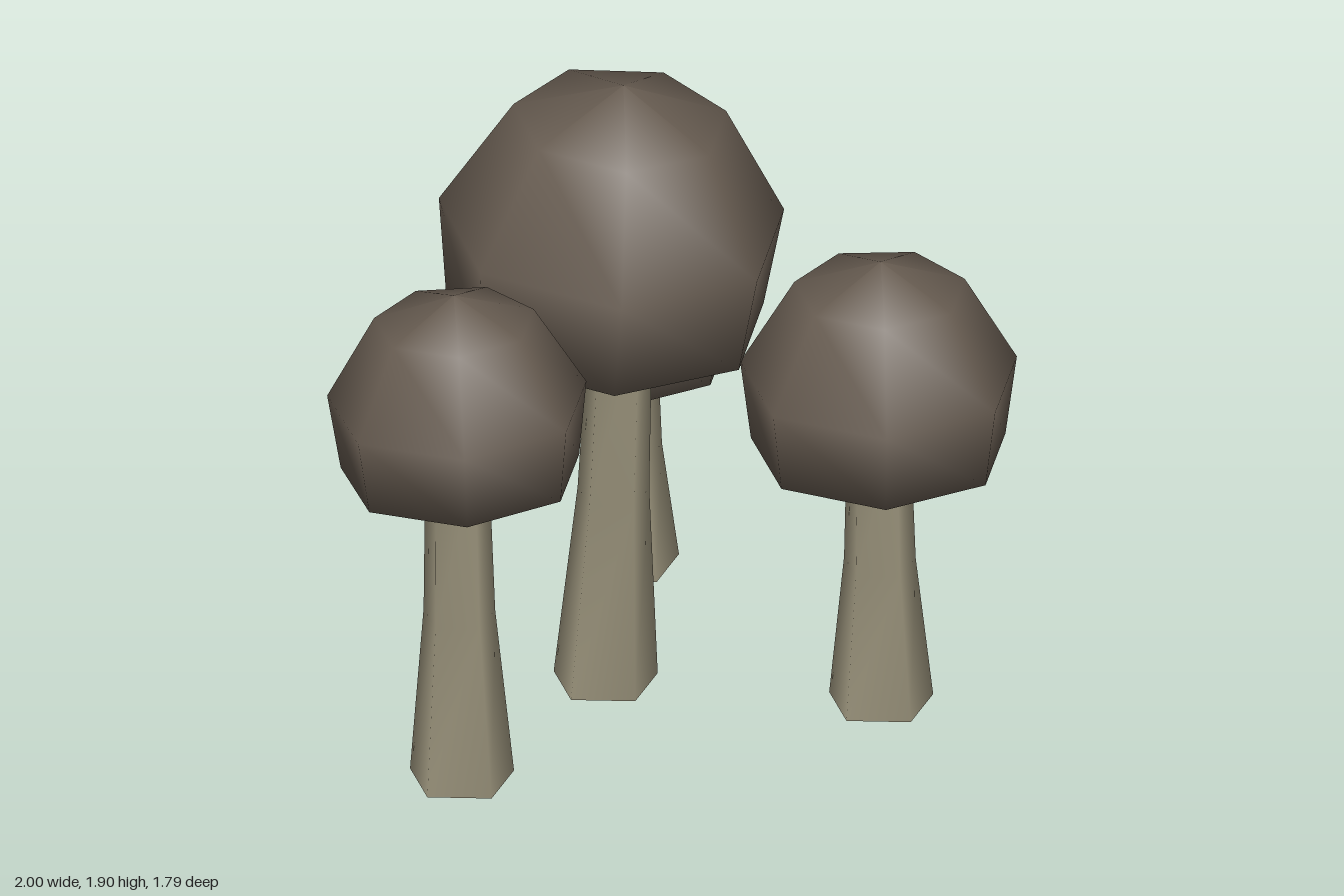
import * as THREE from 'three';

const capMaterial = new THREE.MeshStandardMaterial({ color: 0x665b50 });
capMaterial.name = 'dark brown cap';
const stemMaterial = new THREE.MeshStandardMaterial({ color: 0x979079 });
stemMaterial.name = 'pale olive stem';

// Seven-sided dome with a flat underside; its origin lies at the widest ring
function makeCap({ size, centre, tilt }) {
  const profile = [[0, -0.3], [0.46, -0.3], [0.5, 0], [0.308, 0.335], [0, 0.445]]
    .map(([r, y]) => new THREE.Vector2(r * size, y * size));
  const geometry = new THREE.LatheGeometry(profile, 7);
  geometry.rotateY(Math.PI / 2); // one corner points to +x
  const cap = new THREE.Mesh(geometry, capMaterial);
  cap.name = 'cap';
  cap.position.set(...centre);
  cap.rotation.set(tilt[0], 0, tilt[1]);
  return cap;
}

// Five-sided stem, flared towards the foot and leaning from foot to top
function makeStem({ foot, top }) {
  const geometry = new THREE.CylinderGeometry(1, 1, 1, 5, 2);
  geometry.rotateY(Math.PI / 2);
  geometry.translate(0, 0.5, 0);
  const p = geometry.attributes.position;
  for (let i = 0; i < p.count; i++) {
    const t = p.getY(i);
    const radius = t < 0.25 ? 0.154 : t < 0.75 ? 0.106 : 0.093;
    p.setXYZ(i,
      p.getX(i) * radius + THREE.MathUtils.lerp(foot[0], top[0], t),
      t * top[1],
      p.getZ(i) * radius + THREE.MathUtils.lerp(foot[1], top[2], t));
  }
  // Smooth normals along the flare; the foot and top stay crisp
  geometry.computeVertexNormals();
  // Blend the normals where the side closes on itself
  const n = geometry.attributes.normal;
  for (let row = 0; row < 3; row++) {
    const a = row * 6, b = a + 5;
    const v = new THREE.Vector3().fromBufferAttribute(n, a)
      .add(new THREE.Vector3().fromBufferAttribute(n, b)).normalize();
    n.setXYZ(a, v.x, v.y, v.z);
    n.setXYZ(b, v.x, v.y, v.z);
  }
  const stem = new THREE.Mesh(geometry, stemMaterial);
  stem.name = 'stem';
  return stem;
}

// size scales the cap, centre is its widest ring, tilt is about x and z,
// foot is the x and z of the stem on the ground, top is where it meets the cap
const mushrooms = [
  { name: 'tallMushroom', size: 1, centre: [-0.09, 1.455, 0.09], tilt: [0.04, -0.055],
    foot: [-0.113, 0.085], top: [-0.072, 1.2, 0.105] },
  { name: 'rightMushroom', size: 0.75, centre: [-0.665, 1.19, 0.525], tilt: [-0.035, 0.03],
    foot: [-0.66, 0.54], top: [-0.67, 1.03, 0.525] },
  { name: 'leftMushroom', size: 0.8, centre: [0.6, 1.04, 0.41], tilt: [0, -0.005],
    foot: [0.6, 0.415], top: [0.595, 0.88, 0.41] },
  { name: 'backMushroom', size: 0.63, centre: [0.14, 0.833, -0.595], tilt: [-0.015, 0],
    foot: [0.137, -0.588], top: [0.135, 0.72, -0.593] },
];

export function createModel() {
  const model = new THREE.Group();
  model.name = 'mushroomCluster';
  for (const spec of mushrooms) {
    const mushroom = new THREE.Group();
    mushroom.name = spec.name;
    mushroom.add(makeStem(spec), makeCap(spec));
    model.add(mushroom);
  }
  return model;
}
